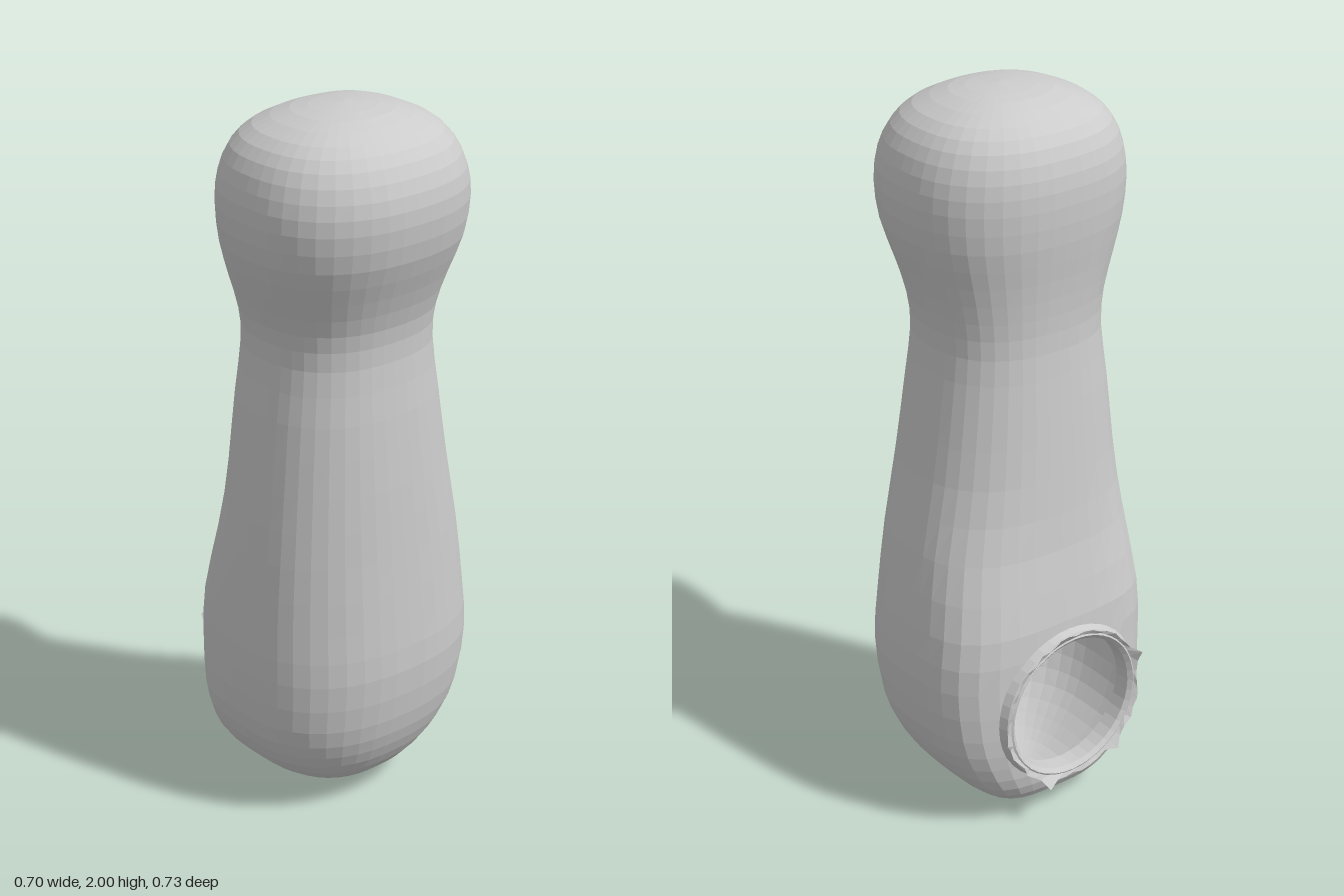
import * as THREE from 'three';

const AROUND = 44;
const HOLE = { y: 0.345, z: 0, r: 0.205 };

// Cross-sections: height, min x, max x, min z, max z
const SECTIONS = [
  [0.004, -0.14, -0.02, -0.08, 0.06],
  [0.02, -0.21, 0.05, -0.135, 0.115],
  [0.06, -0.272, 0.13, -0.20, 0.18],
  [0.12, -0.302, 0.19, -0.262, 0.25],
  [0.2, -0.308, 0.235, -0.315, 0.30],
  [0.3, -0.307, 0.265, -0.35, 0.33],
  [0.45, -0.303, 0.283, -0.363, 0.34],
  [0.6, -0.298, 0.28, -0.35, 0.338],
  [0.8, -0.262, 0.272, -0.318, 0.328],
  [1.0, -0.24, 0.265, -0.275, 0.312],
  [1.2, -0.22, 0.255, -0.24, 0.293],
  [1.35, -0.205, 0.245, -0.218, 0.275],
  [1.45, -0.205, 0.255, -0.224, 0.285],
  [1.55, -0.212, 0.29, -0.247, 0.32],
  [1.65, -0.222, 0.33, -0.273, 0.352],
  [1.75, -0.225, 0.348, -0.28, 0.365],
  [1.83, -0.217, 0.342, -0.268, 0.355],
  [1.9, -0.19, 0.312, -0.235, 0.325],
  [1.95, -0.14, 0.262, -0.18, 0.27],
  [1.985, -0.06, 0.18, -0.09, 0.175],
  [1.996, 0.01, 0.11, -0.02, 0.1],
];

function seeded(seed) {
  return () => {
    seed = (seed * 16807) % 2147483647;
    return seed / 2147483647;
  };
}

function toGeometry(positions, index) {
  const g = new THREE.BufferGeometry();
  g.setAttribute('position', new THREE.Float32BufferAttribute(positions, 3));
  g.setIndex(index);
  g.computeVertexNormals();
  return g;
}

// Rounded shell lofted through the sections, with a round opening cut in the -x side
function bodyGeometry() {
  const rows = [];
  SECTIONS.forEach((s, i) => {
    rows.push(s);
    const next = SECTIONS[i + 1];
    if (!next) return;
    const before = SECTIONS[Math.max(i - 1, 0)];
    const after = SECTIONS[Math.min(i + 2, SECTIONS.length - 1)];
    rows.push(s.map((v, k) => (9 * (v + next[k]) - before[k] - after[k]) / 16));
  });

  const pts = [];
  for (const [y, x0, x1, z0, z1] of rows) {
    const cx = (x0 + x1) / 2, cz = (z0 + z1) / 2;
    // The side with the opening is flatter low down
    const flat = 2.4 + 1.3 * (1 - THREE.MathUtils.smoothstep(y, 0.45, 1.0));
    for (let j = 0; j < AROUND; j++) {
      const a = (j / AROUND) * Math.PI * 2;
      const c = Math.cos(a), s = Math.sin(a);
      const n = c < 0 ? flat : 2.35;
      const k = (Math.abs(c) ** n + Math.abs(s) ** n) ** (-1 / n);
      pts.push(new THREE.Vector3(cx + c * k * (x1 - x0) / 2, y, cz + s * k * (z1 - z0) / 2));
    }
  }
  const bottom = pts.push(new THREE.Vector3(-0.08, 0, -0.01)) - 1;
  const top = pts.push(new THREE.Vector3(0.06, 2, 0.04)) - 1;

  const inHole = pts.map(p => p.x < -0.1 && Math.hypot(p.y - HOLE.y, p.z - HOLE.z) < HOLE.r);
  const index = [];
  const tri = (a, b, c) => {
    if (!(inHole[a] && inHole[b] && inHole[c])) index.push(a, b, c);
  };
  for (let j = 0; j < AROUND; j++) {
    const j2 = (j + 1) % AROUND;
    tri(bottom, j, j2);
    for (let i = 0; i < rows.length - 1; i++) {
      const a = i * AROUND + j, b = i * AROUND + j2;
      tri(a, a + AROUND, b);
      tri(b, a + AROUND, b + AROUND);
    }
    const last = (rows.length - 1) * AROUND;
    tri(last + j, top, last + j2);
  }

  // Pull the cut edge onto a clean circle
  pts.forEach((p, i) => {
    if (!inHole[i]) return;
    const dy = p.y - HOLE.y, dz = p.z - HOLE.z;
    const f = HOLE.r / Math.max(Math.hypot(dy, dz), 0.001);
    p.y = HOLE.y + dy * f;
    p.z = HOLE.z + dz * f;
  });
  return toGeometry(pts.flatMap(p => p.toArray()), index);
}

// Ring strips around the opening; each ring is a function (angle index) -> [radius, x]
function ringGeometry(rings, count) {
  const pos = [], index = [];
  rings.forEach((ring, i) => {
    for (let j = 0; j < count; j++) {
      const a = (j / count) * Math.PI * 2;
      const [r, x] = ring(j);
      pos.push(x, HOLE.y + Math.sin(a) * r, HOLE.z + Math.cos(a) * r);
      if (i === 0) continue;
      const p = (i - 1) * count + j, q = (i - 1) * count + (j + 1) % count;
      index.push(p, q, p + count, q, q + count, p + count);
    }
  });
  return toGeometry(pos, index);
}

export function createModel() {
  const model = new THREE.Group();
  const material = new THREE.MeshStandardMaterial({
    color: 0xcccccc, flatShading: true, side: THREE.DoubleSide,
  });
  const add = (name, geometry) => {
    const mesh = new THREE.Mesh(geometry, material);
    mesh.name = name;
    model.add(mesh);
  };

  add('body', bodyGeometry());

  // Raised lip lining the opening
  add('openingLip', ringGeometry([
    () => [0.232, -0.295],
    () => [0.222, -0.318],
    () => [0.208, -0.326],
    () => [0.196, -0.316],
    () => [0.194, -0.27],
  ], 40));

  // Ragged edge curling out from the lip, with a few longer flaps
  const random = seeded(11);
  const count = 48;
  const edge = Array.from({ length: count }, (_, j) => {
    const flap = [3, 13, 14, 25, 33, 41].includes(j) ? 1 : 0;
    return [0.218 + random() * 0.012 + flap * 0.018, -0.326 - random() * 0.008 - flap * 0.014];
  });
  add('raggedEdge', ringGeometry([() => [0.21, -0.322], j => edge[j]], count));

  return model;
}
